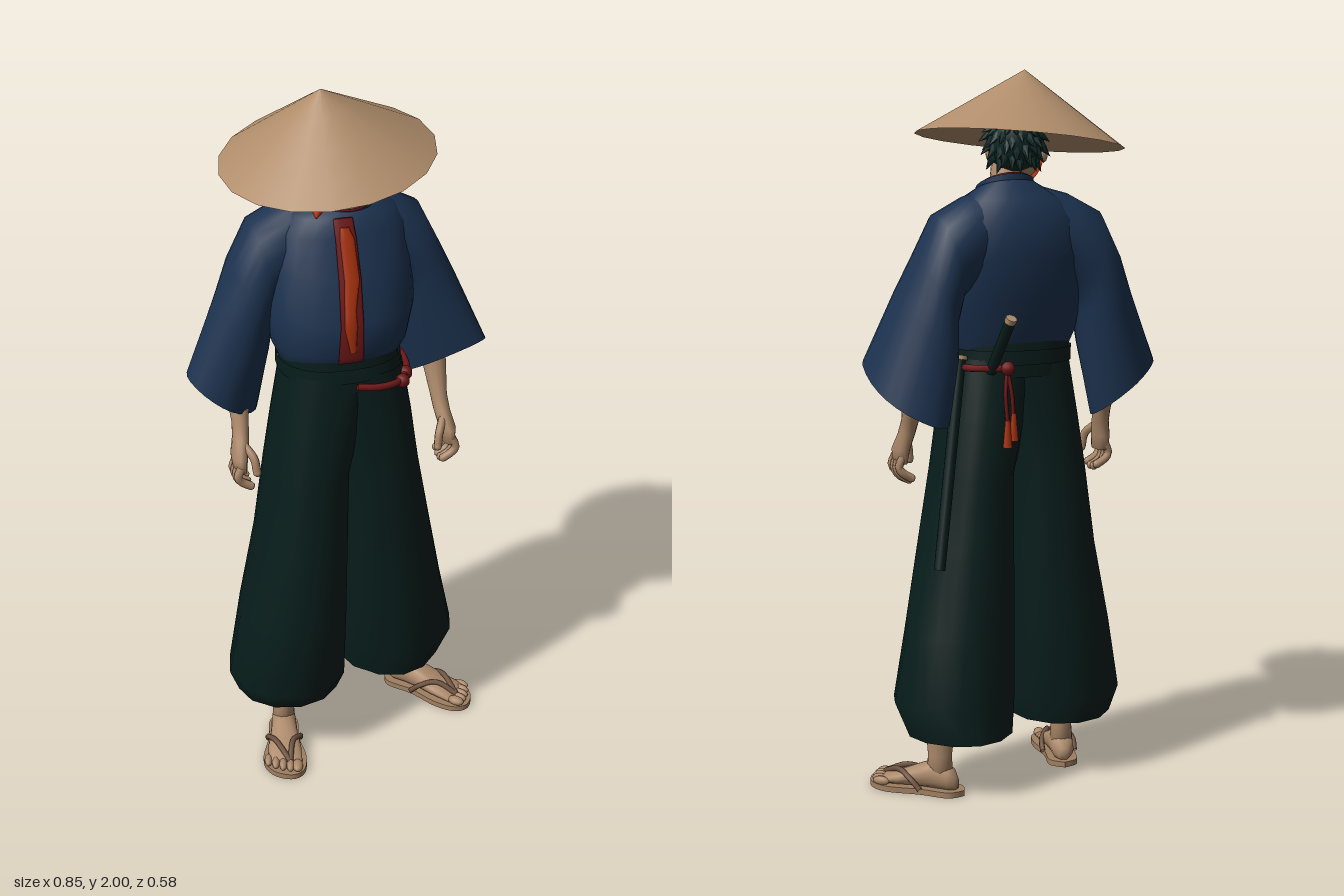
import * as THREE from 'three';

const V = (x, y, z) => new THREE.Vector3(x, y, z);
const mat = (name, color) => {
  const m = new THREE.MeshStandardMaterial({ color, side: THREE.DoubleSide });
  m.name = name;
  return m;
};
const M = {
  straw: mat('straw', 0xb08d6b), skin: mat('skin', 0xac896a), blue: mat('indigo cloth', 0x1c324f),
  green: mat('dark green cloth', 0x071d1b), hair: mat('teal hair', 0x0c2927), red: mat('dark red', 0x6c1717),
  orange: mat('mask orange', 0xa5300c), sandal: mat('sandal', 0xa08062), strap: mat('sandal strap', 0x6e5340),
};

function mesh(parent, name, geo, m, pos) {
  const o = new THREE.Mesh(geo, m);
  o.name = name;
  if (pos) o.position.copy(pos);
  parent.add(o);
  return o;
}

// Rounded ring around c; u and w are its half axes, p < 1 makes it boxier, p > 1 more pointed
function ring(c, u, w, p = 1, n = 24, pleat = 0) {
  const s = v => Math.sign(v) * Math.pow(Math.abs(v), p);
  return Array.from({ length: n }, (_, i) => {
    const a = i / n * Math.PI * 2, k = 1 + pleat * Math.cos(i * Math.PI);
    return c.clone().addScaledVector(u, s(Math.cos(a)) * k).addScaledVector(w, s(Math.sin(a)) * k);
  });
}

// Skin over a list of rings, with optional end caps
function loft(rings, capStart = false, capEnd = false) {
  const n = rings[0].length, pts = rings.flat(), idx = [];
  for (let r = 0; r < rings.length - 1; r++)
    for (let i = 0; i < n; i++) {
      const a = r * n + i, b = r * n + (i + 1) % n;
      idx.push(a, a + n, b, b, a + n, b + n);
    }
  const cap = (r, flip) => {
    const c = pts.length;
    pts.push(rings[r].reduce((s, v) => s.add(v), V(0, 0, 0)).divideScalar(n));
    for (let i = 0; i < n; i++) {
      const a = r * n + i, b = r * n + (i + 1) % n;
      idx.push(c, flip ? b : a, flip ? a : b);
    }
  };
  if (capStart) cap(0, false);
  if (capEnd) cap(rings.length - 1, true);
  const g = new THREE.BufferGeometry().setFromPoints(pts);
  g.setIndex(idx);
  g.computeVertexNormals();
  return g;
}

// Level section given by its x and z limits; tilt lifts its front
const level = (y, x0, x1, zb, zf, p = 1, pleat = 0, tilt = 0) =>
  ring(V((x0 + x1) / 2, y, (zb + zf) / 2), V((x1 - x0) / 2, 0, 0), V(0, tilt, (zf - zb) / 2), p, 24, pleat);
// Limb with horizontal rings: rows of x, y, z, half width, half depth
const limb = rows => loft(rows.map(([x, y, z, a, b]) => ring(V(x, y, z), V(a, 0, 0), V(0, 0, b), 1, 14)), true, true);
const tube = (pts, r, n = 14) => new THREE.TubeGeometry(new THREE.CatmullRomCurve3(pts), n, r, 7, false);

function rod(parent, name, a, b, r, m) {
  const o = mesh(parent, name, new THREE.CylinderGeometry(r, r, a.distanceTo(b), 12), m, a.clone().lerp(b, 0.5));
  o.quaternion.setFromUnitVectors(V(0, 1, 0), b.clone().sub(a).normalize());
}

function buildHead(root) {
  const head = new THREE.Group();
  head.name = 'head';
  head.position.set(-0.015, 1.79, -0.03);
  head.rotation.y = -0.5;
  root.add(head);
  mesh(head, 'face', new THREE.SphereGeometry(1, 24, 16), M.skin, V(0, 0, 0.01)).scale.set(0.07, 0.095, 0.08);
  // Half mask with brow, cheeks and a long drooping nose
  mesh(head, 'mask', new THREE.SphereGeometry(1, 24, 14, 0, Math.PI, 0.7, 1.85), M.orange, V(0, -0.005, 0.02)).scale.set(0.076, 0.1, 0.085);
  const nose = [[0.07, 0, 0.042], [0.11, -0.02, 0.034], [0.15, -0.052, 0.025], [0.18, -0.083, 0.014], [0.19, -0.096, 0.003]];
  mesh(head, 'maskNose', loft(nose.map(([z, y, r]) => ring(V(0, y, z), V(r, 0, 0), V(0, r * 0.8, r * 0.5), 1, 14)), false, true), M.orange);
  mesh(head, 'maskMouth', tube([V(-0.045, -0.05, 0.085), V(0, -0.06, 0.1), V(0.045, -0.05, 0.085)], 0.009), M.red);
  for (const s of [-1, 1]) {
    mesh(head, 'maskBrow', tube([V(s * 0.06, 0.05, 0.075), V(s * 0.035, 0.045, 0.095), V(s * 0.012, 0.025, 0.107)], 0.008), M.red);
    mesh(head, 'ear', new THREE.SphereGeometry(1, 10, 8), M.skin, V(s * 0.074, -0.015, 0.015)).scale.set(0.012, 0.026, 0.018);
  }
  // Hair: a rounded back with staggered hanging spikes
  mesh(head, 'hairBack', new THREE.SphereGeometry(1, 20, 14), M.hair, V(0, 0.02, -0.022)).scale.set(0.078, 0.088, 0.076);
  for (let row = 0; row < 4; row++)
    for (let i = 0; i < 9; i++) {
      const a = Math.PI + (i - 4) * 0.32 + (row % 2) * 0.16, e = -0.6 + row * 0.36 + 0.12 * Math.sin(i * 2.3 + row);
      const d = V(Math.sin(a) * Math.cos(e), Math.sin(e), Math.cos(a) * Math.cos(e));
      const spike = mesh(head, 'hairSpike', new THREE.ConeGeometry(0.02, 0.06, 6), M.hair,
        V(d.x * 0.08, 0.015 + d.y * 0.085, -0.022 + d.z * 0.074));
      spike.quaternion.setFromUnitVectors(V(0, 1, 0), d.add(V(0, -0.9, 0)).normalize());
    }
  mesh(root, 'neck', limb([[0.015, 1.62, -0.04, 0.055, 0.055], [0.015, 1.7, -0.03, 0.045, 0.045], [0.005, 1.77, -0.025, 0.045, 0.048]]), M.skin);

  // Tilted straw hat
  const n = V(-0.12, 1, 0.1).normalize();
  const hat = mesh(root, 'strawHat', new THREE.ConeGeometry(0.291, 0.195, 18, 4, true).rotateY(0.1), M.straw,
    V(-0.036, 1.807, -0.003).addScaledVector(n, 0.0975));
  hat.quaternion.setFromUnitVectors(V(0, 1, 0), n);
}

function buildJacket(root) {
  // Rows of y, centre x, half width, front z, back z, front lift
  const rows = [[1.24, -0.01, 0.165, 0.13, -0.12, 0], [1.29, -0.01, 0.188, 0.16, -0.14, 0], [1.38, -0.005, 0.205, 0.16, -0.165, 0],
    [1.5, 0, 0.205, 0.118, -0.195, 0], [1.6, 0.005, 0.19, 0.08, -0.188, 0], [1.65, 0.01, 0.15, 0.06, -0.158, -0.008], [1.683, 0.02, 0.085, 0.042, -0.115, -0.026]];
  mesh(root, 'jacketBody', loft(rows.map(([y, x, r, f, b, t]) => level(y, x - r, x + r, b, f, 0.9, 0, t))), M.blue);
  const collar = (k, dy) => [[1.655, 1], [1.692, 0.95]].map(([y, q]) =>
    ring(V(0.02, y + dy, -0.034), V(0.085 * k * q, 0, 0), V(0, -0.034, 0.078 * k * q)));
  mesh(root, 'collar', loft(collar(1, 0)), M.blue);
  mesh(root, 'collarLining', loft(collar(0.9, 0.003)), M.red);
  // Front trim following the chest: rows of x, y, z, half width
  const trim = rows => loft(rows.map(([x, y, z, w]) => ring(V(x, y, z), V(w, 0, 0), V(0, 0, 0.005), 1, 10)), true, true);
  mesh(root, 'frontTrim', trim([[-0.012, 1.65, 0.061, 0.027], [-0.01, 1.6, 0.085, 0.029], [-0.01, 1.5, 0.123, 0.031],
    [-0.015, 1.38, 0.165, 0.032], [-0.018, 1.29, 0.165, 0.035], [-0.018, 1.27, 0.156, 0.035]]), M.red);
  mesh(root, 'frontTrimCentre', trim([[-0.012, 1.63, 0.078, 0.012], [-0.008, 1.6, 0.09, 0.02], [-0.006, 1.5, 0.128, 0.021],
    [-0.018, 1.42, 0.156, 0.016], [-0.02, 1.38, 0.17, 0.018], [-0.014, 1.305, 0.17, 0.008]]), M.orange);
}

function buildArm(root, s) {
  const arm = new THREE.Group(), left = s > 0;
  arm.name = left ? 'leftArm' : 'rightArm';
  root.add(arm);
  // Wide sleeve rows: outer x, y, inner x, y, depth, forward lift, pointedness; each cuff hangs its own way
  const d = left ? 0.118 : 0.1, p = left ? 0.85 : 1.15, lift = left ? 0.062 : -0.02, drop = left ? 0 : 0.035;
  const rows = [[0.06, 1.69, 0.1, 1.45, 0.085, 0, 1], [0.15, 1.665, 0.13, 1.42, 0.105, 0, 1], [0.238, 1.618, 0.165, 1.39, 0.112, 0, 1],
    [0.295, 1.5, 0.18, 1.33, 0.114, lift * 0.25, 1], [0.338, 1.4, 0.185, 1.24, (d + 0.115) / 2, lift * 0.5, (1 + p) / 2],
    [0.425, 1.19, 0.217, 1.085 - drop, d, lift, p]];
  mesh(arm, 'sleeve', loft(rows.map(([ox, oy, ix, iy, depth, l, q], i) =>
    ring(V(s * (ox + ix) / 2, (oy + iy) / 2, -0.068), V(s * (ox - ix) / 2, (oy - iy) / 2, i > 3 ? 0.015 * (i - 3) : 0),
      V(0, l, depth), q))), M.blue);
  mesh(arm, 'forearmAndPalm', limb([[0.27, 1.27, -0.085, 0.045, 0.045], [0.285, 1.15, -0.05, 0.036, 0.038], [0.288, 1.05, -0.005, 0.024, 0.028],
    [0.292, 1.01, 0.015, 0.023, 0.032], [0.302, 0.965, 0.035, 0.023, 0.043], [0.302, 0.925, 0.042, 0.018, 0.04]].map(r => [s * r[0], ...r.slice(1)])), M.skin);
  for (let i = 0; i < 5; i++) {
    const z = 0.01 + i * 0.021, rise = Math.abs(i - 1.6) * 0.008;
    const path = i < 4
      ? [[0.305, 0.945, z], [0.316, 0.915, z + 0.002], [0.306, 0.888 + rise, z], [0.28, 0.872 + rise, z]]
      : [[0.288, 0.995, 0.04], [0.268, 0.965, 0.07], [0.262, 0.925, 0.078]];
    const pts = path.map(q => V(s * q[0], q[1], q[2]));
    mesh(arm, i < 4 ? 'finger' : 'thumb', tube(pts, 0.012, 8), M.skin);
    mesh(arm, 'fingertip', new THREE.SphereGeometry(0.012, 8, 6), M.skin, pts[pts.length - 1]);
  }
}

function buildTrousers(root) {
  // Rows of y, inner x, outer x, back z, front z, front lift
  const right = [[1.22, 0.08, -0.172, -0.12, 0.15, 0], [1.05, 0.04, -0.2, -0.13, 0.168, 0], [0.9, 0.005, -0.222, -0.14, 0.182, 0],
    [0.68, 0, -0.255, -0.145, 0.2, 0], [0.45, -0.003, -0.305, -0.145, 0.212, 0], [0.245, -0.008, -0.343, -0.14, 0.217, 0], [0.175, -0.025, -0.315, -0.12, 0.175, 0.008]];
  const left = [[1.22, -0.08, 0.16, -0.12, 0.15, 0], [1.05, -0.04, 0.192, -0.14, 0.155, 0], [0.9, -0.002, 0.215, -0.152, 0.155, 0],
    [0.68, 0, 0.26, -0.17, 0.145, 0], [0.45, 0.004, 0.31, -0.195, 0.125, 0], [0.265, 0.008, 0.352, -0.215, 0.112, 0], [0.168, 0.02, 0.315, -0.222, 0.085, 0]];
  for (const [name, rows, step] of [['rightTrouserLeg', right, 0.035], ['leftTrouserLeg', left, 0.05]])
    mesh(root, name, loft(rows.map(([y, a, b, zb, zf, t], i) => level(y, a, b, zb, zf, 0.8 + i * step, i * 0.003, t))), M.green);
  const band = (y0, y1, g) => loft([level(y0, -0.175 - g, 0.155 + g, -0.13 - g, 0.15 + g, 0.85), level(y1, -0.175 - g, 0.152 + g, -0.13 - g, 0.146 + g, 0.85)]);
  mesh(root, 'waistband', band(1.17, 1.275, 0), M.green);
  mesh(root, 'waistSash', band(1.205, 1.245, 0.007), M.green);
}

function buildBelt(root) {
  // Red cord around the left hip, with knots and a back tassel
  const cord = [[0, 1.195, 0.162], [0.06, 1.188, 0.164], [0.12, 1.188, 0.148], [0.165, 1.19, 0.08], [0.172, 1.2, 0], [0.15, 1.2, -0.1], [0.05, 1.2, -0.146]];
  mesh(root, 'cord', tube(cord.map(p => V(...p)), 0.01, 40), M.red);
  for (const p of [[0.135, 1.185, 0.14], [0.155, 1.187, 0.1], [0.055, 1.2, -0.147]])
    mesh(root, 'cordKnot', new THREE.SphereGeometry(0.02, 10, 8), M.red, V(...p));
  for (const dx of [-0.009, 0.009]) {
    mesh(root, 'tasselCord', tube([V(0.058, 1.2, -0.147), V(0.055 + dx, 1.13, -0.153), V(0.05 + dx, 1.06, -0.153)], 0.006), M.red);
    mesh(root, 'tassel', new THREE.CylinderGeometry(0.007, 0.014, 0.075, 8), M.orange, V(0.05 + dx, 1.03 - dx, -0.155));
  }
  // Long sheath and a shorter hilt behind the waist
  const top = V(0.165, 1.22, -0.07), end = V(0.262, 0.66, -0.165);
  rod(root, 'sheath', top, end, 0.016, M.green);
  rod(root, 'sheathCollar', top, top.clone().lerp(end, -0.02), 0.02, M.straw);
  const a = V(0.095, 1.19, -0.12), b = V(0.075, 1.335, -0.212);
  rod(root, 'hilt', a, b, 0.015, M.green);
  rod(root, 'hiltCap', b, b.clone().add(V(-0.002, 0.012, -0.007)), 0.016, M.straw);
}

function buildFoot(root, name, x, z, yaw) {
  const foot = new THREE.Group(), side = yaw > 0 ? -1 : 1;
  foot.name = name;
  foot.position.set(x, 0.004, z);
  foot.rotation.y = yaw;
  root.add(foot);
  // Sole outline, longest at the big toe
  const outline = [[0.04, -0.115], [0.043, -0.03], [0.062, 0.06], [0.056, 0.125], [0.02, 0.152], [-0.035, 0.13], [-0.062, 0.07], [-0.045, -0.03], [-0.04, -0.115], [0, -0.147]];
  const shape = new THREE.Shape();
  shape.moveTo(0, 0.147);
  shape.splineThru(outline.map(([a, b]) => new THREE.Vector2(side * a, -b)));
  const sole = new THREE.ExtrudeGeometry(shape, { depth: 0.016, bevelEnabled: false, curveSegments: 40 });
  mesh(foot, 'sandalSole', sole.rotateX(-Math.PI / 2), M.sandal);
  // Foot sections from heel to ball: z, half width, top
  const rows = [[-0.122, 0.015, 0.05], [-0.105, 0.032, 0.075], [-0.06, 0.036, 0.095], [-0.015, 0.039, 0.08], [0.04, 0.048, 0.056], [0.1, 0.05, 0.036]];
  mesh(foot, 'foot', loft(rows.map(([d, w, h]) => ring(V(0, (h + 0.012) / 2, d), V(w, 0, 0), V(0, (h - 0.012) / 2, 0), 0.9, 16)), true, true), M.skin);
  for (let i = 0; i < 5; i++)
    mesh(foot, 'toe', new THREE.SphereGeometry(1, 10, 8), M.skin, V(side * (0.036 - i * 0.021), 0.025, 0.12 - i * i * 0.0018))
      .scale.set(i ? 0.0115 : 0.016, 0.013, 0.026);
  for (const s of [-1, 1])
    mesh(foot, 'sandalStrap', tube([V(side * 0.015, 0.034, 0.11), V(s * 0.024, 0.058, 0.045), V(s * 0.046, 0.042, 0), V(s * 0.047, 0.014, -0.03)], 0.008), M.strap);
  mesh(foot, 'lowerLeg', limb([[0, 0.05, -0.07, 0.034, 0.038], [0, 0.11, -0.07, 0.03, 0.035], [0, 0.2, -0.072, 0.038, 0.044], [0, 0.32, -0.075, 0.05, 0.055]]), M.skin);
}

export function createModel() {
  const root = new THREE.Group();
  root.name = 'wanderingSwordsman';
  buildHead(root);
  buildJacket(root);
  for (const s of [-1, 1]) buildArm(root, s);
  buildTrousers(root);
  buildBelt(root);
  buildFoot(root, 'rightFoot', -0.207, 0.12, -0.24);
  buildFoot(root, 'leftFoot', 0.285, -0.04, 0.75);
  return root;
}
